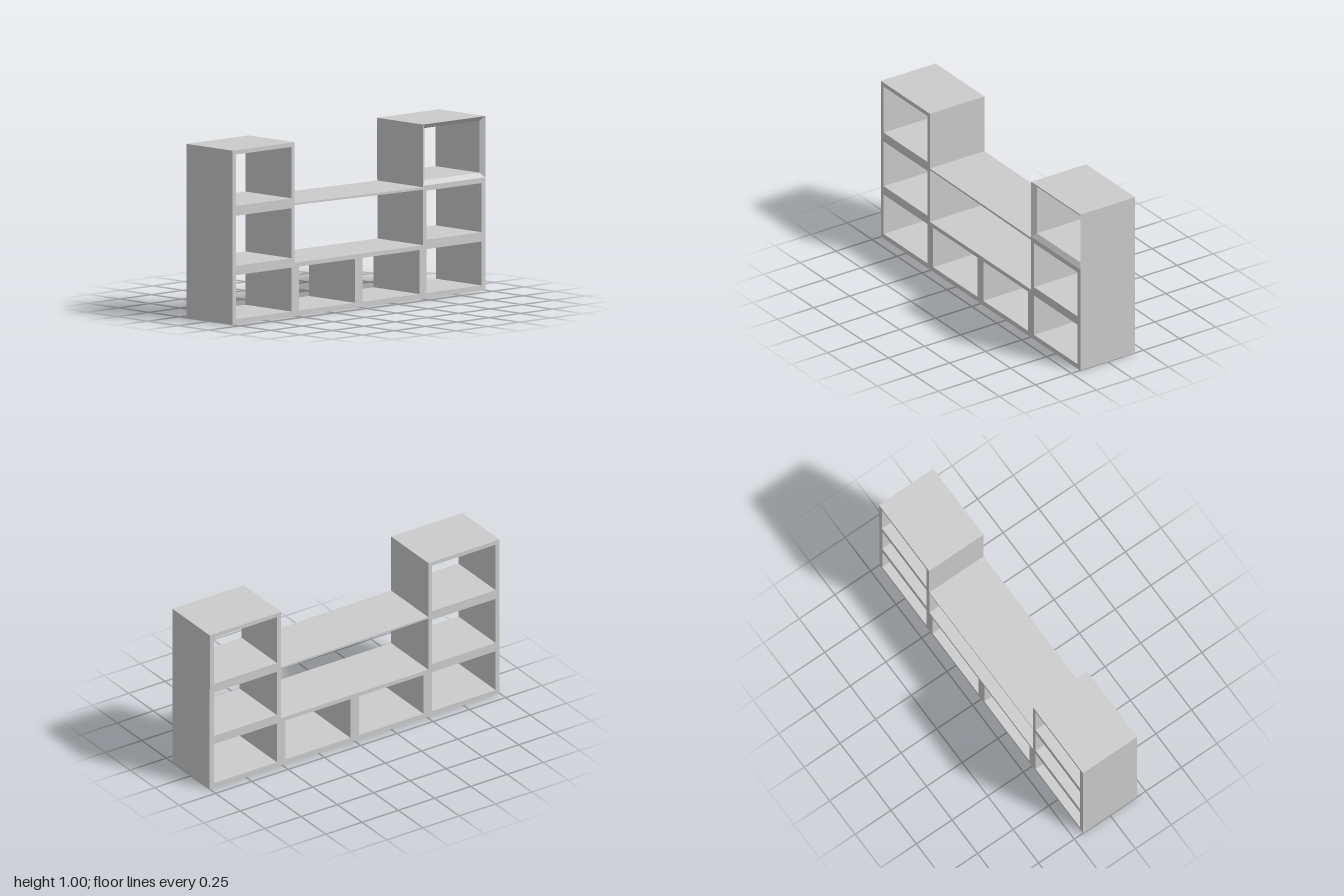
import * as THREE from 'three';

const HALF = 0.189; // half the depth of the unit along x

// Outline in (u, y), where u = -z
const rect = (u0, y0, u1, y1) => [[u0, y0], [u1, y0], [u1, y1], [u0, y1]];
const toPoints = (list) => list.map(([u, y]) => new THREE.Vector2(u, y));

// Extrude an outline across the full depth of the unit
function extrudeAcross(outline, holes = []) {
  const shape = new THREE.Shape(toPoints(outline));
  holes.forEach((h) => shape.holes.push(new THREE.Path(toPoints(h))));
  const geo = new THREE.ExtrudeGeometry(shape, { depth: 2 * HALF, bevelEnabled: false });
  return geo.translate(0, 0, -HALF).rotateY(Math.PI / 2);
}

// Open rectangular box whose rim on the +x side slopes inwards
function slopedBox(outer, inner, recess) {
  const positions = [];
  const section = (i) => {
    const [uo, yo] = outer[i % 4], [ui, yi] = inner[i % 4];
    return [[HALF, yo, -uo], [HALF - recess, yi, -ui], [-HALF - 0.002, yi, -ui], [-HALF - 0.002, yo, -uo]];
  };
  for (let i = 0; i < 4; i++) {
    const a = section(i), b = section(i + 1);
    for (let j = 0; j < 4; j++) {
      const k = (j + 1) % 4;
      positions.push(...a[j], ...b[j], ...b[k], ...a[j], ...b[k], ...a[k]);
    }
  }
  const geo = new THREE.BufferGeometry();
  geo.setAttribute('position', new THREE.Float32BufferAttribute(positions, 3));
  geo.computeVertexNormals();
  return geo;
}

export function createModel() {
  const group = new THREE.Group();
  const material = new THREE.MeshStandardMaterial({ color: 0xcccccc, flatShading: true, side: THREE.DoubleSide });
  const add = (name, geo) => {
    const mesh = new THREE.Mesh(geo, material);
    mesh.name = name;
    group.add(mesh);
  };

  // Main carcass: low bench with a tower at each end
  const outline = [
    [-1, 0], [1, 0], [1, 0.65], [0.508, 0.65], [0.508, 0.308],
    [-0.508, 0.308], [-0.508, 1.003], [-1, 1.003],
  ];
  const holes = [
    // bottom row
    ...[[-0.972, -0.535], [-0.475, -0.031], [0.028, 0.477], [0.536, 0.971]]
      .map(([a, b]) => rect(a, 0.03, b, 0.283)),
    // tower compartments
    rect(-0.972, 0.337, -0.535, 0.625),
    rect(-0.972, 0.682, -0.535, 0.978),
    rect(0.536, 0.337, 0.971, 0.62),
  ];
  add('carcass', extrudeAcross(outline, holes));

  // Top compartment of the rear tower, with a sloped rim
  add('topCompartment', slopedBox(rect(0.508, 0.65, 1, 1.003), rect(0.536, 0.678, 0.971, 0.978), 0.02));

  // Thin, slightly tilted shelf bridging the towers
  add('bridgeShelf', extrudeAcross([[-0.508, 0.641], [0.508, 0.628], [0.508, 0.642], [-0.508, 0.651]]));

  return group;
}
